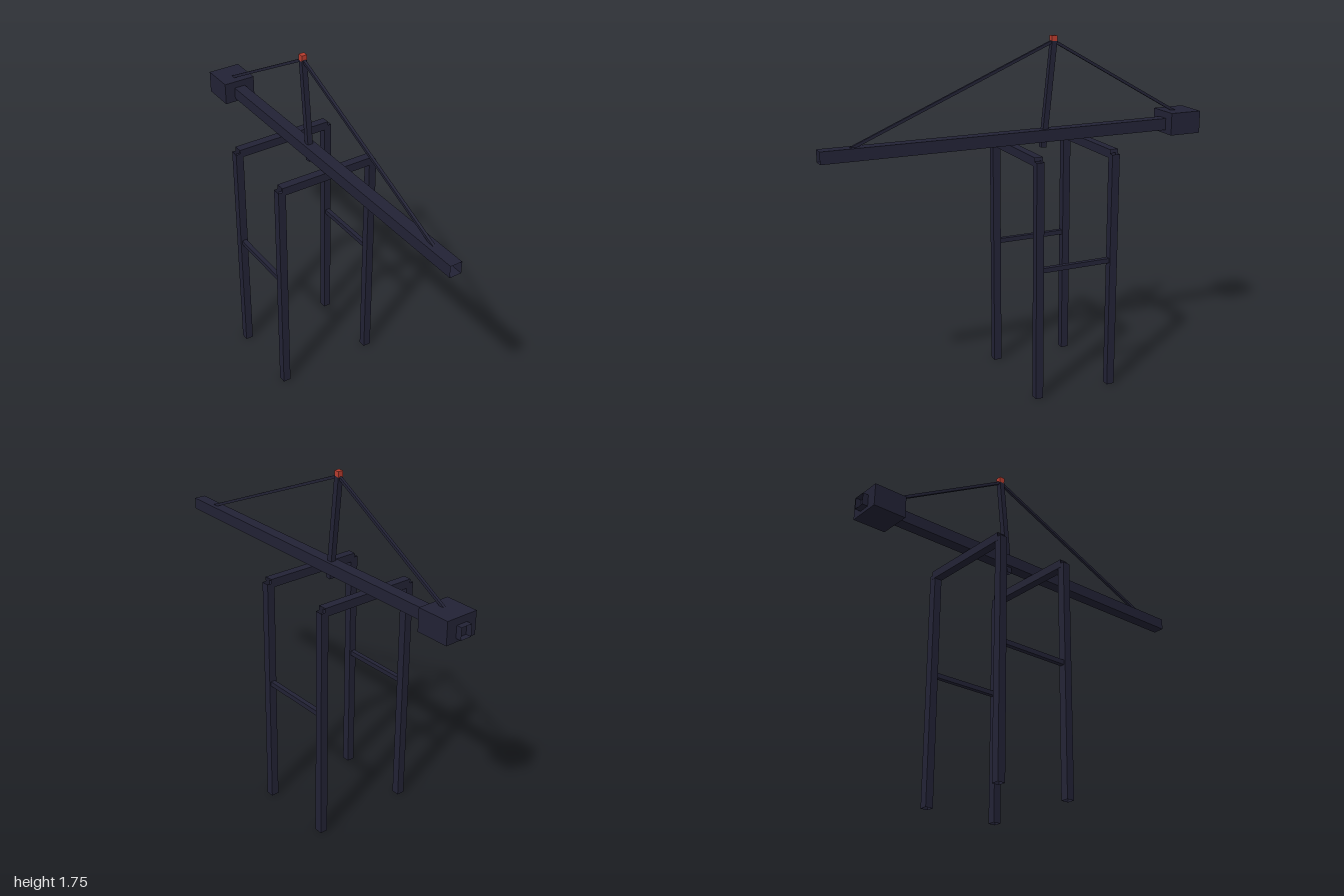
import * as THREE from 'three';

export function createModel() {
  const group = new THREE.Group();
  const steel = new THREE.MeshStandardMaterial({ color: 0x222235, side: THREE.DoubleSide });
  steel.name = 'dark steel';
  const red = new THREE.MeshStandardMaterial({ color: 0xb83c2e });
  red.name = 'warning red';

  // Hollow square section, open at both ends, running between two points
  function beam(name, from, to, width) {
    const a = new THREE.Vector3(...from);
    const b = new THREE.Vector3(...to);
    let geometry = new THREE.CylinderGeometry(width / Math.SQRT2, width / Math.SQRT2, a.distanceTo(b), 4, 1, true);
    geometry.rotateY(Math.PI / 4);
    geometry = geometry.toNonIndexed();
    geometry.computeVertexNormals();
    const mesh = new THREE.Mesh(geometry, steel);
    mesh.name = name;
    mesh.position.copy(a).add(b).multiplyScalar(0.5);
    mesh.quaternion.setFromUnitVectors(new THREE.Vector3(0, 1, 0), b.sub(a).normalize());
    group.add(mesh);
  }

  function box(name, size, position, material) {
    const mesh = new THREE.Mesh(new THREE.BoxGeometry(...size), material);
    mesh.name = name;
    mesh.position.set(...position);
    group.add(mesh);
  }

  const legX = 0.257, legTop = 1.2, frontZ = 0.028, backZ = -0.372;

  // Portal frame: legs, side braces and cross beams
  for (const [side, x] of [['left', legX], ['right', -legX]]) {
    beam(side + 'FrontLeg', [x, 0, frontZ], [x, legTop, frontZ], 0.04);
    beam(side + 'BackLeg', [x, 0, backZ], [x, legTop, backZ], 0.04);
    beam(side + 'Brace', [x, 0.664, frontZ], [x, 0.664, backZ], 0.024);
  }
  beam('frontCrossBeam', [-legX, legTop, frontZ], [legX, legTop, frontZ], 0.043);
  beam('backCrossBeam', [-legX, legTop, backZ], [legX, legTop, backZ], 0.043);

  // Boom with counterweight
  beam('boom', [0, 1.264, 1], [0, 1.264, -1], 0.06);
  box('counterweight', [0.17, 0.114, 0.17], [0, 1.272, -0.886], steel);

  // Leaning mast, stay cables and beacon
  beam('mast', [0, 1.204, -0.115], [0, 1.72, -0.17], 0.028);
  beam('frontStay', [0, 1.72, -0.17], [0, 1.28, 0.87], 0.014);
  beam('backStay', [0, 1.72, -0.17], [0, 1.31, -0.89], 0.014);
  box('beacon', [0.028, 0.03, 0.028], [0, 1.731, -0.17], red);

  return group;
}
